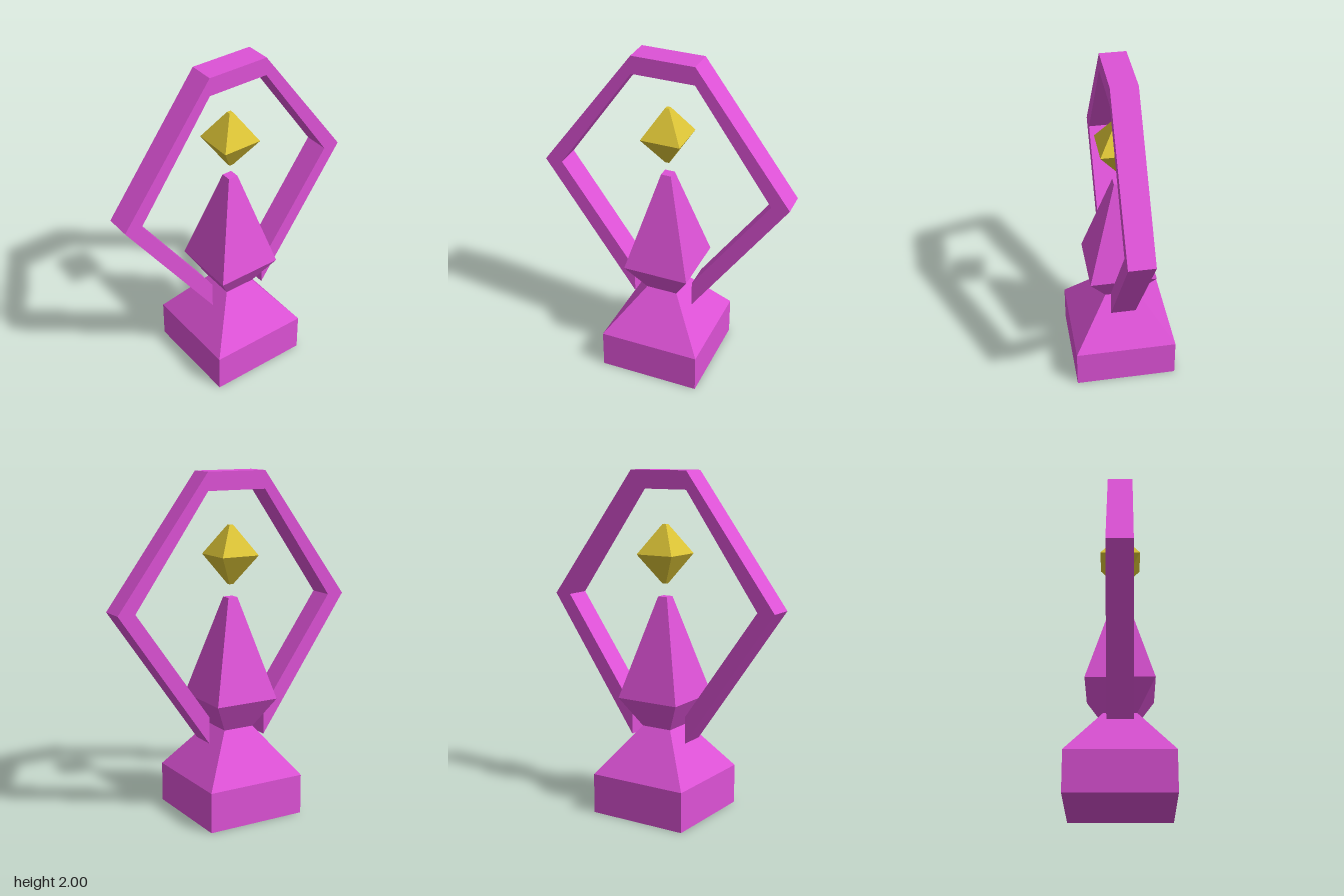
import * as THREE from 'three';

const material = (color) => new THREE.MeshStandardMaterial({ color, flatShading: true });

// Square-section solid from [half width, height] pairs, bottom to top
function squareTower(name, profile, mat) {
  const points = profile.map(([half, y]) => new THREE.Vector2(half * Math.SQRT2, y));
  const geometry = new THREE.LatheGeometry(points, 4, Math.PI / 4).toNonIndexed();
  geometry.computeVertexNormals();
  const mesh = new THREE.Mesh(geometry, mat);
  mesh.name = name;
  return mesh;
}

export function createModel() {
  const model = new THREE.Group();
  model.name = 'crystalMonument';
  const magenta = material(0xdd52d6);
  const gold = material(0xdcc436);

  // Plinth narrowing to a waist
  model.add(squareTower('plinth', [
    [0, 0], [0.303, 0], [0.303, 0.235], [0.095, 0.515], [0, 0.515],
  ], magenta));

  // Spire flaring from the waist, then tapering to a small flat top
  model.add(squareTower('spire', [
    [0, 0.515], [0.095, 0.515], [0.197, 0.69], [0.03, 1.28], [0, 1.28],
  ], magenta));

  // Floating crystal with blunted tips
  model.add(squareTower('crystal', [
    [0, 1.355], [0.012, 1.355], [0.118, 1.525], [0.012, 1.695], [0, 1.695],
  ], gold));

  // Angular frame, open at the bottom, mirrored outline
  const outer = [[0.185, 0.445], [0.745, 1.25], [0.185, 2]];
  const inner = [[0.185, 1.895], [0.64, 1.25], [0.185, 0.605]];
  const mirror = (list) => list.map(([x, y]) => [-x, y]).reverse();
  const outline = [...outer, ...mirror(outer), ...mirror(inner), ...inner];
  const shape = new THREE.Shape(outline.map(([x, y]) => new THREE.Vector2(x, y)));
  const depth = 0.15;
  const geometry = new THREE.ExtrudeGeometry(shape, { depth, bevelEnabled: false });
  geometry.translate(0, 0, -depth / 2);
  const frame = new THREE.Mesh(geometry, magenta);
  frame.name = 'frame';
  model.add(frame);

  return model;
}
